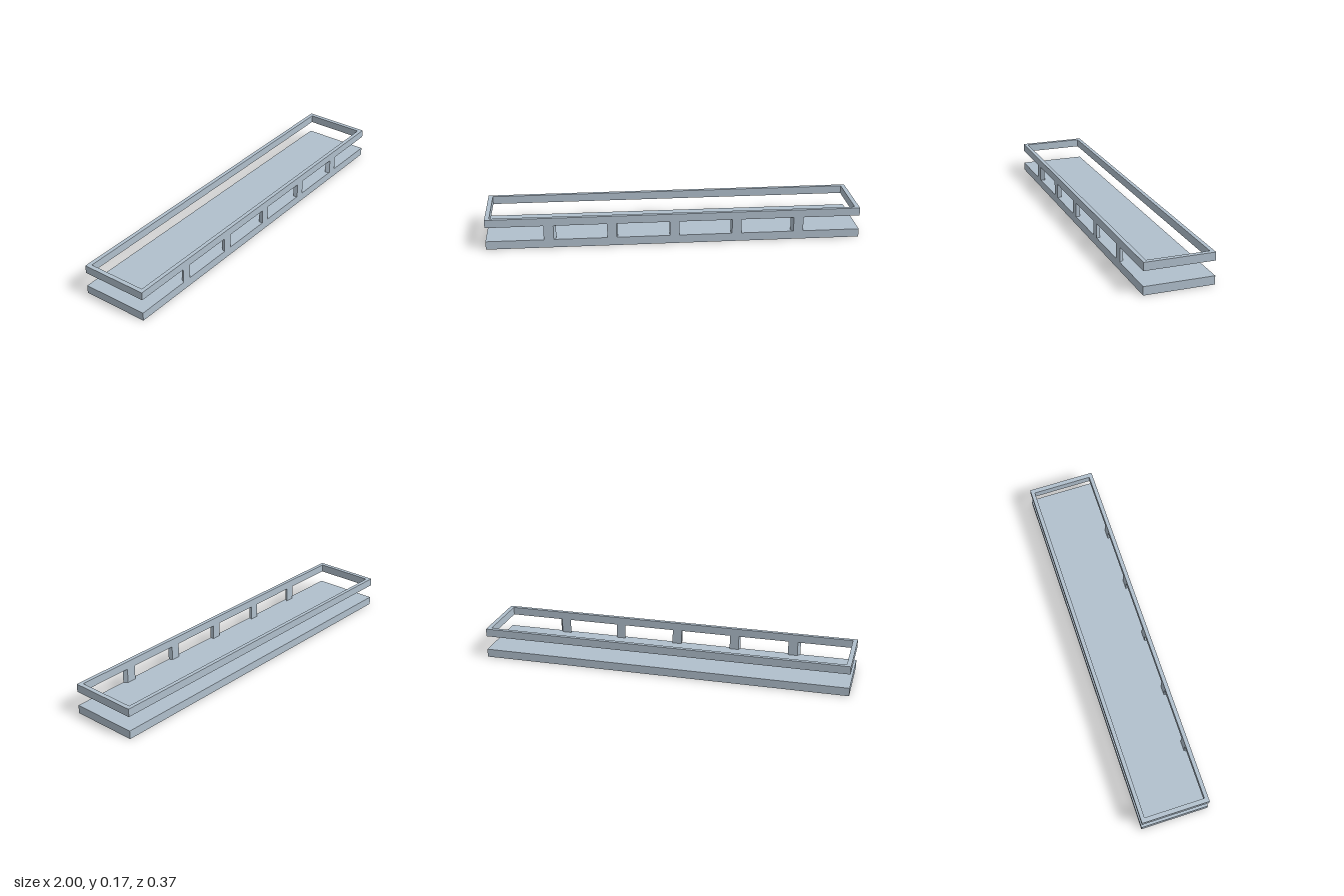
import * as THREE from 'three';

const HALF_X = 1, HALF_Z = 0.183;
const BASE_H = 0.045, FRAME_Y = 0.123, TOP_Y = 0.166;
const WALL_X = 0.024, WALL_Z = 0.021;

// Shape drawn in plan (x, -z), extruded upwards from y0 to y1
function planExtrude(shape, y0, y1) {
  const geo = new THREE.ExtrudeGeometry(shape, { depth: y1 - y0, bevelEnabled: false });
  return geo.rotateX(-Math.PI / 2).translate(0, y0, 0);
}

function outline(Type, hx, hz) {
  return new Type([[-hx, -hz], [hx, -hz], [hx, hz], [-hx, hz]].map(([x, y]) => new THREE.Vector2(x, y)));
}

export function createModel() {
  const model = new THREE.Group();
  model.name = 'balcony';
  const paint = new THREE.MeshStandardMaterial({ color: 0xb0bfcc });
  paint.name = 'blue grey';

  const add = (geometry, name) => {
    const mesh = new THREE.Mesh(geometry, paint);
    mesh.name = name;
    model.add(mesh);
  };

  // Solid floor slab
  add(new THREE.BoxGeometry(HALF_X * 2, BASE_H, HALF_Z * 2).translate(0, BASE_H / 2, 0), 'baseSlab');

  // Open rectangular top rail
  const rail = outline(THREE.Shape, HALF_X, HALF_Z);
  rail.holes.push(outline(THREE.Path, HALF_X - WALL_X, HALF_Z - WALL_Z));
  add(planExtrude(rail, FRAME_Y, TOP_Y), 'topRail');

  // Front posts, with sides slanting towards the centre at the back
  for (let i = -2; i <= 2; i++) {
    const x = i * 0.334;
    const shift = -i * 0.007;
    const half = 0.025 + (Math.abs(i) === 2 ? 0.001 : 0);
    const front = -HALF_Z, back = -HALF_Z + WALL_Z;
    const plan = new THREE.Shape([
      new THREE.Vector2(x - half, front),
      new THREE.Vector2(x + half, front),
      new THREE.Vector2(x + half + shift, back),
      new THREE.Vector2(x - half + shift, back),
    ]);
    add(planExtrude(plan, BASE_H, FRAME_Y), `frontPost${i + 3}`);
  }
  return model;
}
